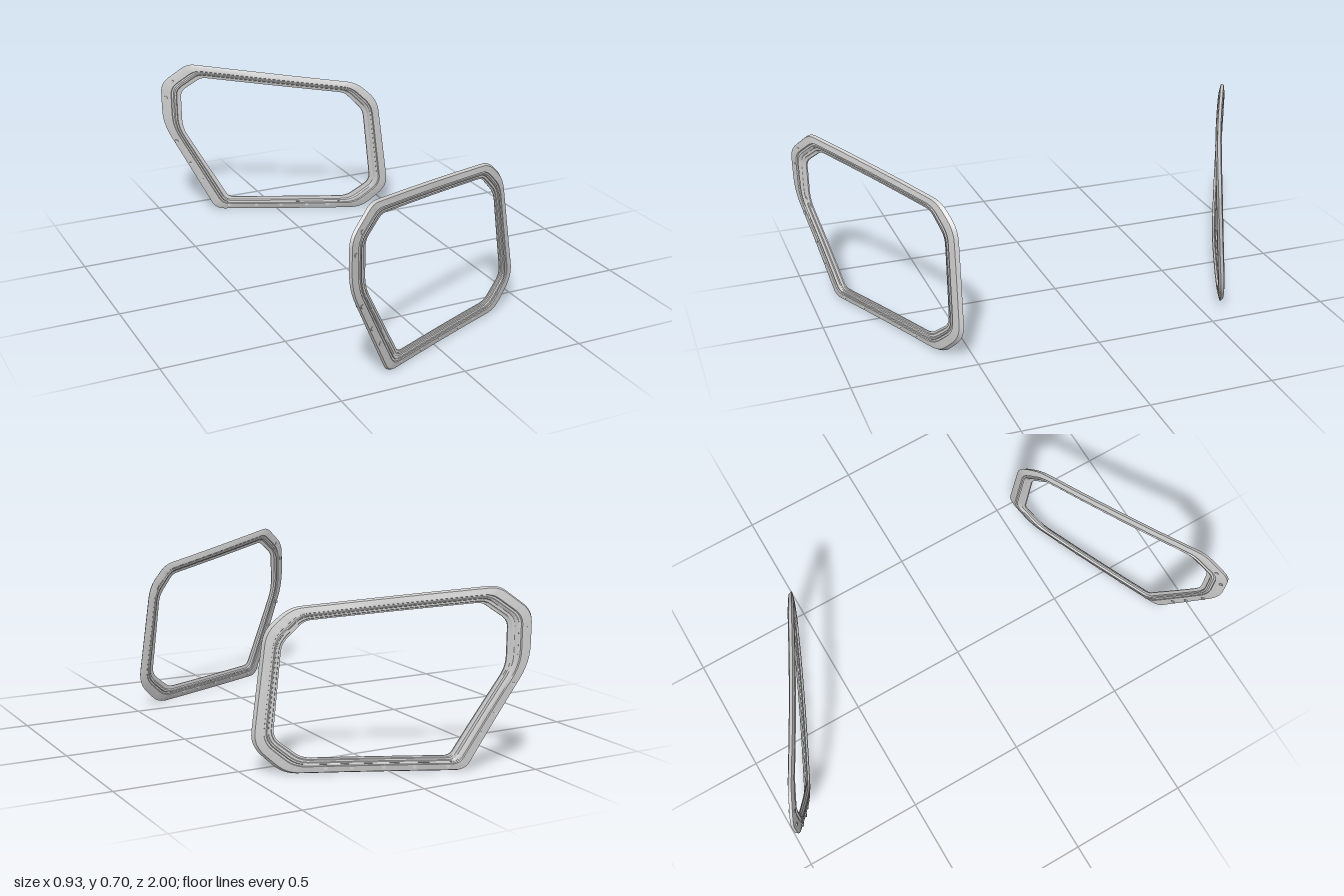
import * as THREE from 'three';
import { toCreasedNormals } from 'three/addons/utils/BufferGeometryUtils.js';

// matching corners of the outer and inner outline, counter-clockwise from the lower left
const OUTER = [[-0.26, 0], [0.365, 0], [0.475, 0.11], [0.415, 0.54], [0.325, 0.624], [-0.355, 0.705], [-0.465, 0.612], [-0.465, 0.42]];
const INNER = [[-0.204, 0.06], [0.3, 0.06], [0.398, 0.14], [0.358, 0.49], [0.28, 0.575], [-0.3, 0.641], [-0.385, 0.575], [-0.385, 0.4]];
const ROUND = [0.035, 0.05, 0.055, 0.05, 0.04, 0.032, 0.042, 0.07];

// frame section: [position from outer to inner outline, depth]; ridged on both faces, thin at the inner lip
const SECTION = [
  [0, -0.011], [0.09, 0.003], [0.48, 0.008], [0.51, 0.004], [0.6, 0.004], [0.63, 0.008], [0.7, 0.006], [0.74, 0.001],
  [0.86, 0.001], [0.9, -0.003], [1, -0.004],
  [1, -0.009], [0.78, -0.012], [0.72, -0.02], [0.63, -0.022], [0.59, -0.016], [0.5, -0.016], [0.46, -0.02], [0.1, -0.014],
];

// slightly bowed and twisted surface that each frame follows
const surfaceZ = (x, y) => 0.77 - 0.03 * y - (0.453 + 0.1 * y) * x + 0.047 * x * x;
const surfaceNormal = (x, y) => new THREE.Vector3(0.453 + 0.1 * y - 0.094 * x, 0.03 + 0.1 * x, 1).normalize();

// rounded outline at fraction t between outer and inner
function outline(t) {
  const corners = OUTER.map((p, i) => new THREE.Vector2(...p).lerp(new THREE.Vector2(...INNER[i]), t));
  const n = corners.length, points = [];
  const radius = (i) => ROUND[i] * (1 - 0.4 * t);
  const toward = (i, j) => corners[j].clone().sub(corners[i]).setLength(radius(i)).add(corners[i]);
  corners.forEach((c, i) => {
    const next = (i + 1) % n;
    const start = toward(i, (i + n - 1) % n), end = toward(i, next), stop = toward(next, i);
    points.push(...new THREE.QuadraticBezierCurve(start, c, end).getPoints(6));
    // extra points so the long sides follow the bow
    for (let k = 1; k < 4; k++) points.push(end.clone().lerp(stop, k / 4));
  });
  return points;
}

function frameGeometry(side) {
  const rings = SECTION.map(([t]) => outline(t));
  const m = rings.length, n = rings[0].length, position = [], index = [];
  rings.forEach((ring, j) => ring.forEach((p) =>
    position.push(p.x, p.y, side * (surfaceZ(p.x, p.y) + SECTION[j][1]))));
  for (let j = 0; j < m; j++) {
    for (let i = 0; i < n; i++) {
      const k = (i + 1) % n, l = (j + 1) % m;
      const a = j * n + i, b = j * n + k, c = l * n + k, d = l * n + i;
      if (side > 0) index.push(a, b, c, a, c, d);
      else index.push(a, c, b, a, d, c);
    }
  }
  const g = new THREE.BufferGeometry();
  g.setAttribute('position', new THREE.Float32BufferAttribute(position, 3));
  g.setIndex(index);
  return toCreasedNormals(g, 0.5);
}

// fastener centres along the lower and rear edges
const FASTENERS = [
  [-0.2, 0.022], [-0.085, 0.022], [0.02, 0.022], [0.13, 0.022], [0.22, 0.022],
  [-0.31, 0.145], [-0.355, 0.225], [-0.41, 0.335], [-0.445, 0.545], [-0.415, 0.62],
];

export function createModel() {
  const model = new THREE.Group();
  const material = new THREE.MeshStandardMaterial({ color: 0xcccccc });
  const pin = new THREE.CylinderGeometry(0.008, 0.008, 0.024, 12);
  for (const side of [1, -1]) {
    const assembly = new THREE.Group();
    assembly.name = side > 0 ? 'frontWindowFrame' : 'backWindowFrame';
    const frame = new THREE.Mesh(frameGeometry(side), material);
    frame.name = 'windowSurround';
    assembly.add(frame);
    // small fasteners passing through the flange, almost flush on both faces
    for (const [x, y] of FASTENERS) {
      const fastener = new THREE.Mesh(pin, material);
      fastener.name = 'fastener';
      fastener.position.set(x, y, side * (surfaceZ(x, y) - 0.006));
      const normal = surfaceNormal(x, y);
      normal.z *= side;
      fastener.quaternion.setFromUnitVectors(new THREE.Vector3(0, 1, 0), normal);
      assembly.add(fastener);
    }
    model.add(assembly);
  }
  return model;
}
